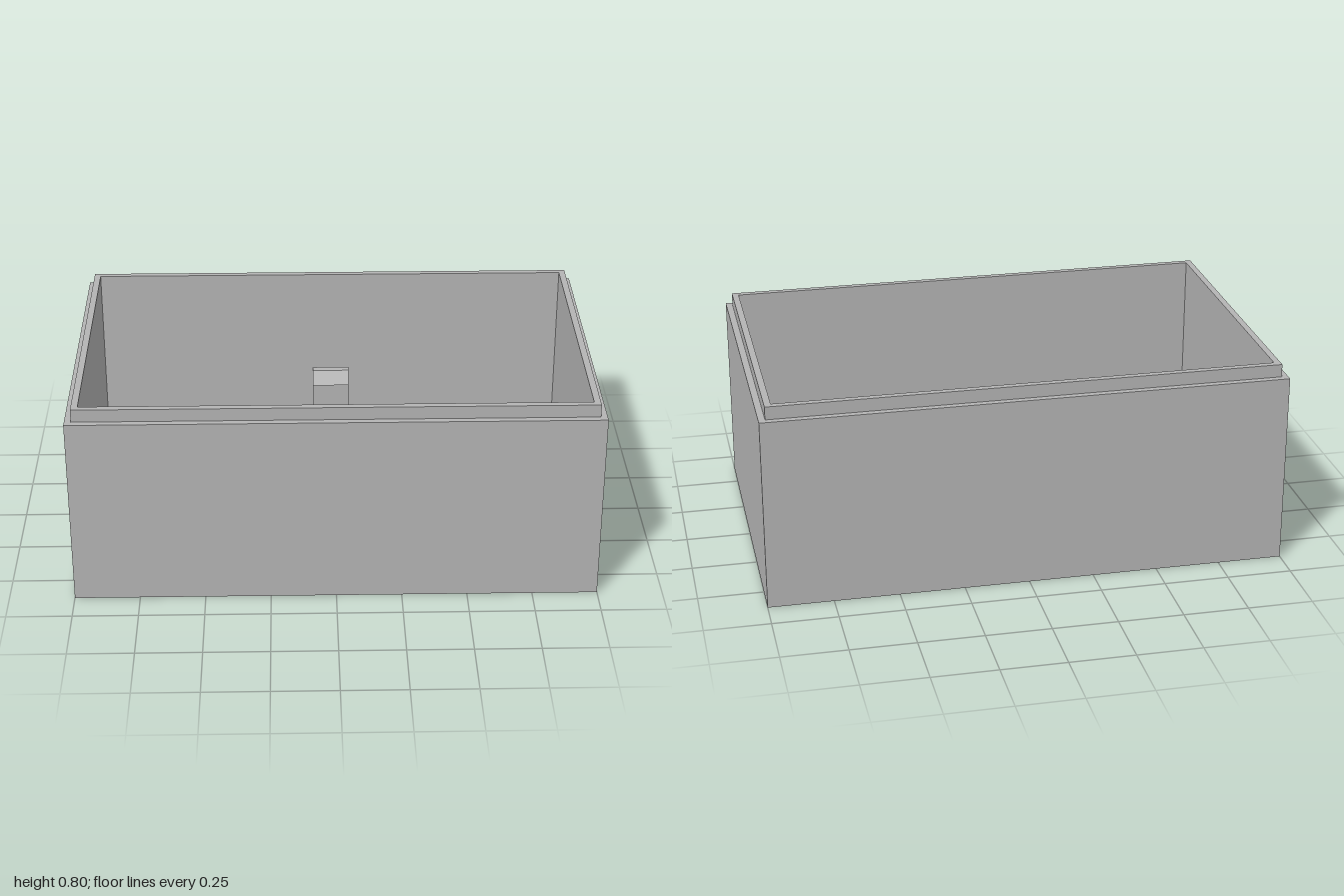
import * as THREE from 'three';

const FLOOR = 0.05;

// Rectangle path centred on the origin
function rect(path, w, d) {
  path.moveTo(-w / 2, -d / 2);
  path.lineTo(w / 2, -d / 2);
  path.lineTo(w / 2, d / 2);
  path.lineTo(-w / 2, d / 2);
  path.closePath();
  return path;
}

// Extrude a plan outline upwards from y0 to y1
function riser(shape, y0, y1) {
  const g = new THREE.ExtrudeGeometry(shape, { depth: y1 - y0, bevelEnabled: false, curveSegments: 24 });
  return g.rotateX(-Math.PI / 2).translate(0, y0, 0);
}

function frame(w, d, innerW, innerD, y0, y1) {
  const s = rect(new THREE.Shape(), w, d);
  s.holes.push(rect(new THREE.Path(), innerW, innerD));
  return riser(s, y0, y1);
}

export function createModel() {
  const model = new THREE.Group();
  model.name = 'openEnclosure';
  const grey = new THREE.MeshStandardMaterial({ color: 0xb4b4b4 });
  grey.name = 'plasticGrey';

  const add = (name, geometry) => {
    const mesh = new THREE.Mesh(geometry, grey);
    mesh.name = name;
    model.add(mesh);
    return mesh;
  };

  // Shell: floor, walls and the stepped lip for the lid
  add('floor', riser(rect(new THREE.Shape(), 2, 1.25), 0, FLOOR));
  add('walls', frame(2, 1.25, 1.9, 1.15, FLOOR, 0.75));
  add('lip', frame(1.95, 1.2, 1.9, 1.15, 0.75, 0.8));

  // Raised pad in the middle of the floor
  add('pad', riser(rect(new THREE.Shape(), 0.4, 0.6), FLOOR, 0.1));

  // Two hollow screw posts in opposite corners
  const ring = new THREE.Shape().absarc(0, 0, 0.086, 0, Math.PI * 2);
  ring.holes.push(new THREE.Path().absarc(0, 0, 0.0325, 0, Math.PI * 2, true));
  for (const side of [-1, 1]) {
    const post = add(side < 0 ? 'frontRightPost' : 'backLeftPost', riser(ring, FLOOR, 0.25));
    post.position.set(0.75 * side, 0, -0.375 * side);
  }

  // Snap clip: side profile (z, y) with a sloped hook, extruded along x
  const profile = new THREE.Shape([
    [-0.515, FLOOR], [-0.485, FLOOR], [-0.485, 0.345],
    [-0.455, 0.345], [-0.485, 0.4], [-0.515, 0.4],
  ].map(([z, y]) => new THREE.Vector2(-z, y)));
  const clip = new THREE.ExtrudeGeometry(profile, { depth: 0.15, bevelEnabled: false });
  clip.translate(0, 0, -0.075).rotateY(Math.PI / 2);
  add('snapClip', clip);

  return model;
}
